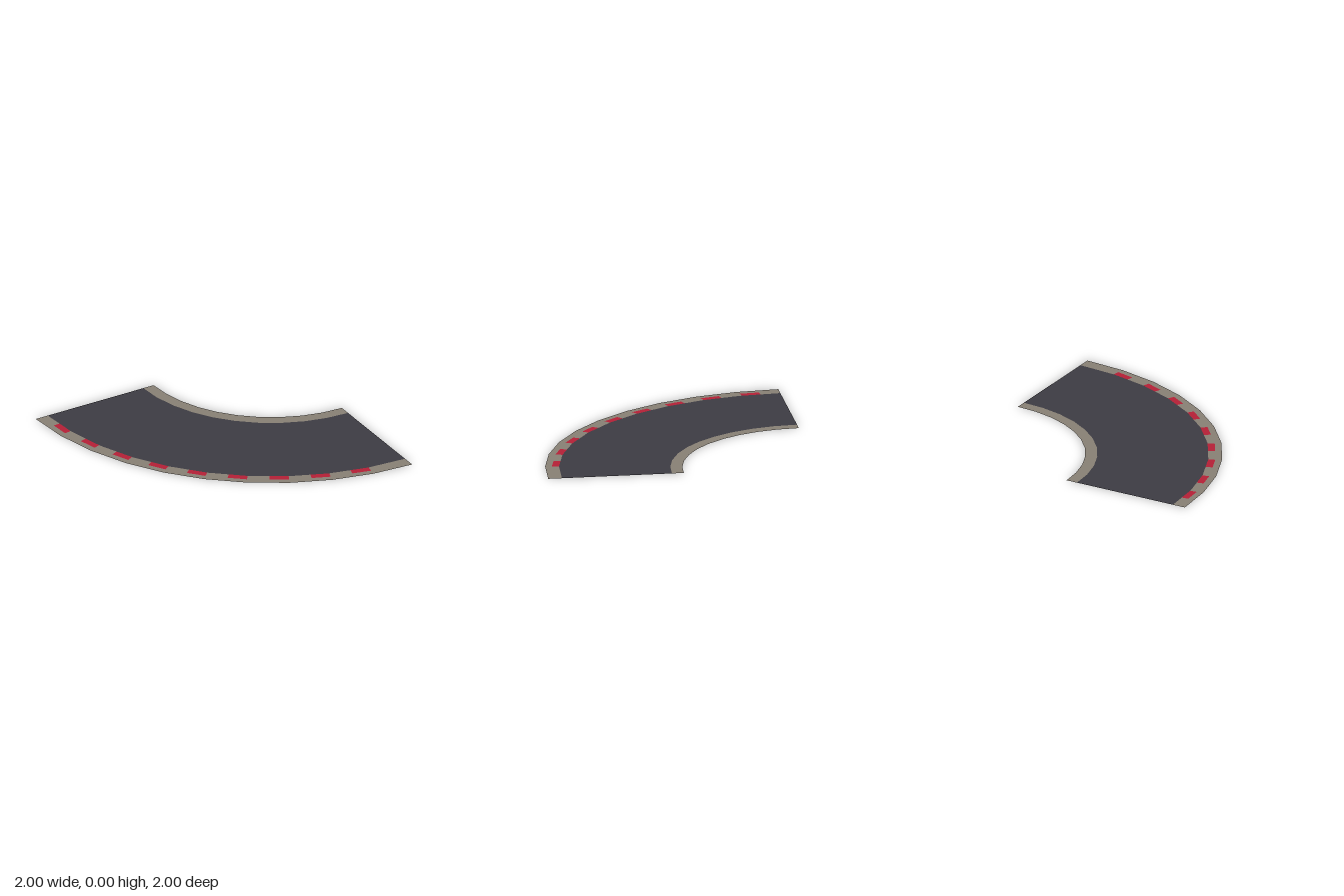
import * as THREE from 'three';

const STEP = 9;            // degrees per straight facet of the bend
const CX = 1, CZ = -1;     // centre of the bend

const paint = (name, color) => {
  const m = new THREE.MeshStandardMaterial({ color, side: THREE.DoubleSide });
  m.name = name;
  return m;
};

// Point on the faceted bend: angle in degrees, radius measured at the facet corners
function bendPoint(r, deg) {
  const i = Math.min(Math.floor(deg / STEP + 1e-6), 90 / STEP - 1);
  const t = deg / STEP - i;
  const a = THREE.MathUtils.degToRad(i * STEP);
  const b = THREE.MathUtils.degToRad((i + 1) * STEP);
  return [
    CX - r * THREE.MathUtils.lerp(Math.cos(a), Math.cos(b), t),
    0,
    CZ + r * THREE.MathUtils.lerp(Math.sin(a), Math.sin(b), t),
  ];
}

// Flat strip between two radii, split wherever a facet begins
function strip(name, r0, r1, from, to, material) {
  const angles = [from];
  for (let d = 0; d <= 90; d += STEP) if (d > from + 0.01 && d < to - 0.01) angles.push(d);
  angles.push(to);
  const positions = [], index = [];
  angles.forEach((d, k) => {
    positions.push(...bendPoint(r0, d), ...bendPoint(r1, d));
    if (k) {
      const n = 2 * k;
      index.push(n - 2, n - 1, n, n - 1, n + 1, n);
    }
  });
  const g = new THREE.BufferGeometry();
  g.setAttribute('position', new THREE.Float32BufferAttribute(positions, 3));
  g.setIndex(index);
  g.computeVertexNormals();
  const mesh = new THREE.Mesh(g, material);
  mesh.name = name;
  return mesh;
}

export function createModel() {
  const asphalt = paint('asphalt', 0x3d3c43);
  const kerb = paint('kerb', 0x878074);
  const red = paint('red', 0xb42036);

  const model = new THREE.Group();
  model.name = 'curvedRoad';

  // Continuous bands, from the inside of the bend outwards
  model.add(
    strip('innerKerb', 1, 1.088, 0, 90, kerb),
    strip('roadSurface', 1.088, 1.899, 0, 90, asphalt),
    strip('outerKerb', 1.951, 2, 0, 90, kerb),
  );

  // Red blocks set into the outer kerb, with plain kerb between them
  const blocks = new THREE.Group();
  blocks.name = 'kerbBlocks';
  let last = 0;
  for (let i = 0; i < 9; i++) {
    const start = 4.5 + i * 9.04, end = start + 4.2;
    blocks.add(strip('kerbGap', 1.899, 1.951, last, start, kerb));
    blocks.add(strip('redBlock', 1.899, 1.951, start, end, red));
    last = end;
  }
  blocks.add(strip('kerbGap', 1.899, 1.951, last, 90, kerb));
  model.add(blocks);
  return model;
}
